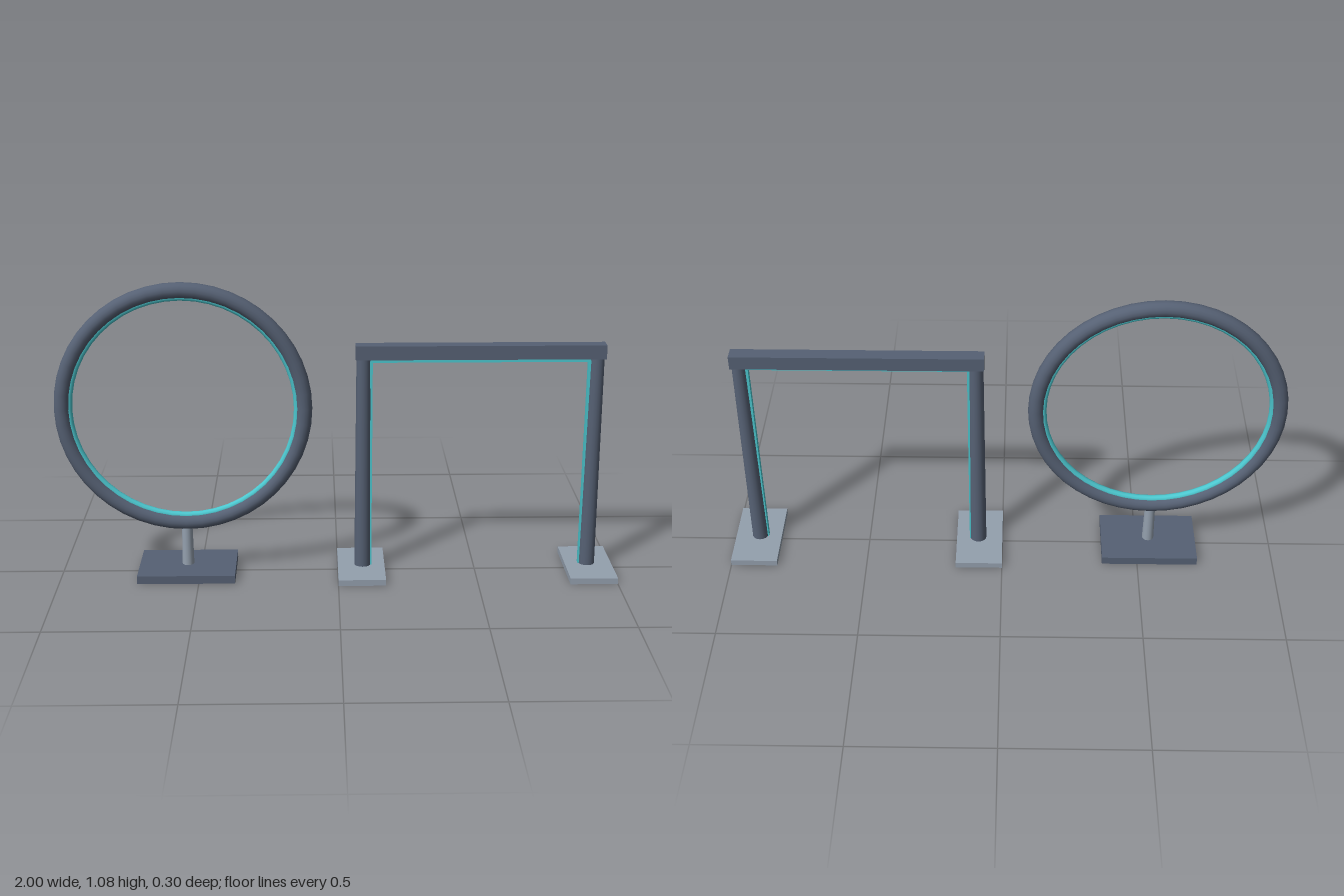
import * as THREE from 'three';

export function createModel() {
  const model = new THREE.Group();
  const material = (name, color) => {
    const m = new THREE.MeshStandardMaterial({ color });
    m.name = name;
    return m;
  };
  const slate = material('slate', 0x566174);
  const paleGrey = material('paleGrey', 0x94a0ae);
  const teal = material('teal', 0x4cc8d0);

  const add = (parent, name, geometry, mat, x, y, z = 0) => {
    const mesh = new THREE.Mesh(geometry, mat);
    mesh.name = name;
    mesh.position.set(x, y, z);
    parent.add(mesh);
    return mesh;
  };

  // Hoop on a short stem and flat base
  const hoop = new THREE.Group();
  hoop.name = 'hoopGate';
  hoop.position.x = -0.545;
  model.add(hoop);
  add(hoop, 'hoopRing', new THREE.TorusGeometry(0.427, 0.028, 16, 48), slate, 0, 0.62);
  add(hoop, 'hoopGlowStrip', new THREE.TorusGeometry(0.403, 0.013, 10, 48), teal, 0, 0.62);
  add(hoop, 'hoopStem', new THREE.CylinderGeometry(0.019, 0.022, 0.175, 16), paleGrey, 0, 0.0925);
  add(hoop, 'hoopBase', new THREE.BoxGeometry(0.35, 0.03, 0.24), slate, 0, 0.015);

  // Square gate: mirrored legs under one beam
  const gate = new THREE.Group();
  gate.name = 'squareGate';
  gate.position.x = 0.5;
  model.add(gate);
  add(gate, 'beam', new THREE.BoxGeometry(0.876, 0.05, 0.05), slate, 0, 0.825);
  add(gate, 'beamGlowStrip', new THREE.BoxGeometry(0.77, 0.014, 0.02), teal, 0, 0.794);
  for (const [side, s] of [['left', 1], ['right', -1]]) {
    add(gate, side + 'Leg', new THREE.CylinderGeometry(0.025, 0.03, 0.8, 16), slate, s * 0.41, 0.402);
    add(gate, side + 'Foot', new THREE.BoxGeometry(0.17, 0.022, 0.296), paleGrey, s * 0.415, 0.011);
    add(gate, side + 'GlowStrip', new THREE.BoxGeometry(0.014, 0.77, 0.02), teal, s * 0.385, 0.407);
  }
  return model;
}
